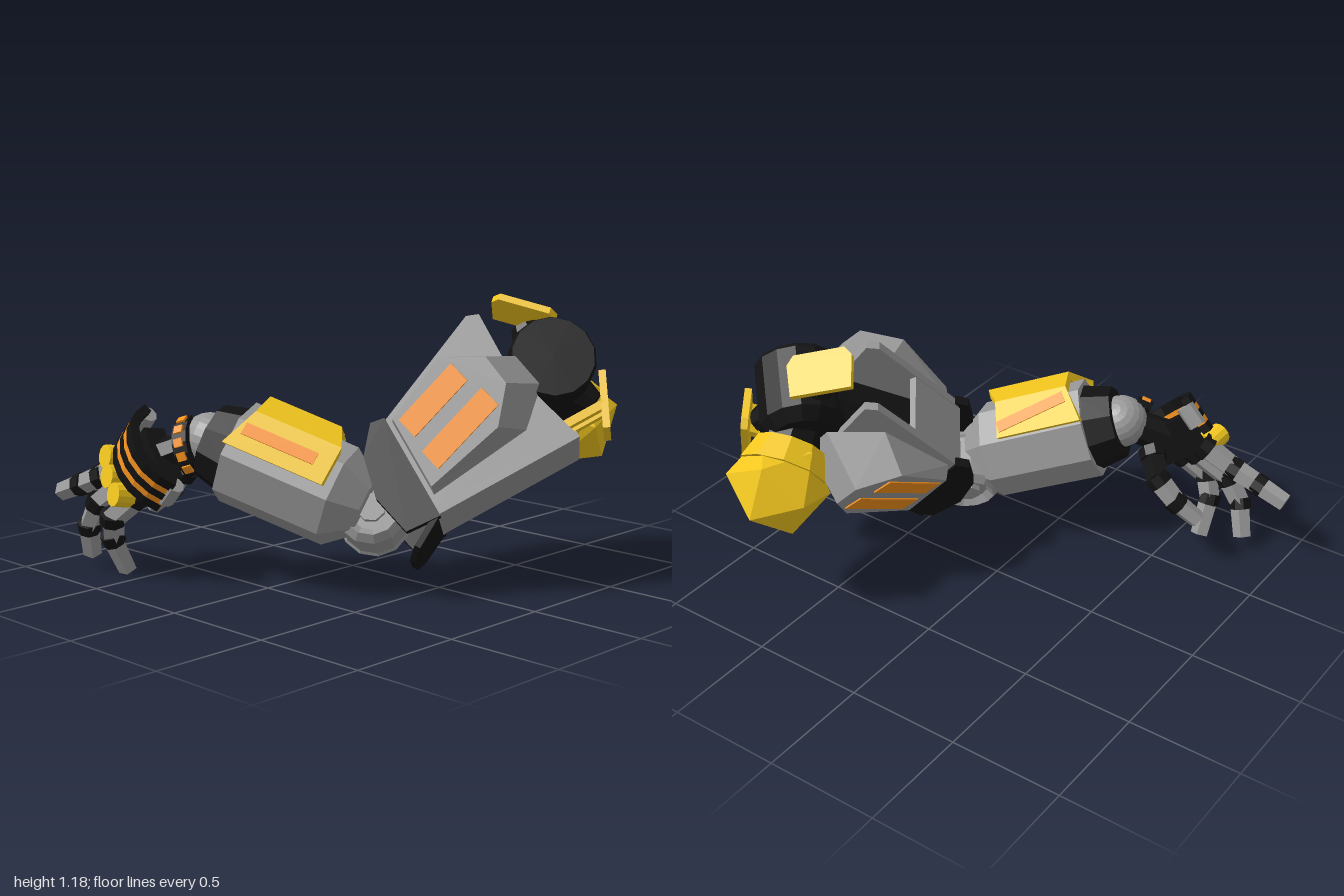
import * as THREE from 'three';

const mat = (color) => new THREE.MeshStandardMaterial({ color, flatShading: true, side: THREE.DoubleSide });
const GREY = mat(0x989898), BLACK = mat(0x121212), YELLOW = mat(0xf2c61e), ORANGE = mat(0xf7921e);
const V = (a) => new THREE.Vector3(...a);

// Group with its own axes: x along X, z close to Z.
function frame(parent, name, origin, X, Z) {
  const x = V(X).normalize(), y = V(Z).cross(x).normalize();
  const z = x.clone().cross(y);
  const g = new THREE.Group();
  g.name = name;
  g.quaternion.setFromRotationMatrix(new THREE.Matrix4().makeBasis(x, y, z));
  g.position.set(...origin);
  parent.add(g);
  return g;
}

function add(parent, name, geo, material, pos = [0, 0, 0], rot = [0, 0, 0]) {
  const m = new THREE.Mesh(geo, material);
  m.name = name;
  m.position.set(...pos);
  m.rotation.set(...rot);
  parent.add(m);
  return m;
}

const box = (x, y, z) => new THREE.BoxGeometry(x, y, z);

function slab(points, depth) {
  const shape = new THREE.Shape(points.map((p) => new THREE.Vector2(...p)));
  return new THREE.ExtrudeGeometry(shape, { depth, bevelEnabled: false });
}

// Prism along x; r0 is the radius at the low-x end.
const prismX = (r0, r1, len, sides, turn = 0) =>
  new THREE.CylinderGeometry(r0, r1, len, sides, 1, false, turn).rotateZ(Math.PI / 2);
// Prism along z.
const prismZ = (r0, r1, len, sides) => new THREE.CylinderGeometry(r1, r0, len, sides).rotateX(Math.PI / 2);

// Bent plate around the x axis from angle a0 to a1 (0 = +z, 90 = +y), reaching from x = 0 to -len.
function arcBand(rOut, rIn, a0, a1, segs, len) {
  const pts = [];
  for (const [r, from, to] of [[rOut, a0, a1], [rIn, a1, a0]])
    for (let i = 0; i <= segs; i++) {
      const t = THREE.MathUtils.degToRad(from + ((to - from) * i) / segs);
      pts.push([r * Math.cos(t), r * Math.sin(t)]);
    }
  return slab(pts, len).rotateY(-Math.PI / 2);
}

function reshape(geo, rule) {
  const p = geo.attributes.position, v = new THREE.Vector3();
  for (let i = 0; i < p.count; i++) {
    v.fromBufferAttribute(p, i);
    rule(v);
    p.setXYZ(i, v.x, v.y, v.z);
  }
  geo.computeVertexNormals();
  return geo;
}

// Straight part between two points.
function limb(parent, name, p, q, r0, r1, material, sides = 6) {
  const a = V(p), dir = V(q).sub(a);
  const m = add(parent, name, new THREE.CylinderGeometry(r1, r0, dir.length(), sides), material);
  m.quaternion.setFromUnitVectors(new THREE.Vector3(0, 1, 0), dir.clone().normalize());
  m.position.copy(a.addScaledVector(dir, 0.5));
}

const SIDE = [0.55, 0.48, 0.68]; // shared hinge direction of both arm halves

function upperArm(root) {
  const g = frame(root, 'upperArm', [0.62, 0.35, 0.18], [0.54, 0.465, -0.7], SIDE);
  const T = 0.33, SLOPE = 0.37;
  const cheek = [[0, 0], [0.67, 0], [0.62, 0.2], [0.57, 0.42], [0.58, 0.66], [0.53, 0.68], [0, 0.44]];
  const podBase = [[0.05, 0.43], [0.42, 0.54], [0.63, 0.42], [0.65, 0.27], [0.5, 0.13], [0.05, 0.08]];
  const tilt = Math.atan(SLOPE);
  for (const s of [1, -1]) {
    const face = s > 0 ? 0 : -T;
    add(g, 'shellCheek', slab(cheek, 0.035), GREY, [0, 0, s > 0 ? -0.035 : -T]);
    // wedge-shaped pod, rising towards the shoulder, with two stripes
    const pod = reshape(slab(podBase, 0.1), (v) => {
      if (v.z > 0.05) {
        v.x = 0.06 + (v.x - 0.06) * 0.74;
        v.y = 0.28 + (v.y - 0.28) * 0.92;
        v.z = 0.05 + SLOPE * v.x;
      }
      v.z *= s;
    });
    add(g, 'stripePod', pod, GREY, [0, 0, face]);
    for (const [x, y, len] of [[0.225, 0.385, 0.31], [0.26, 0.225, 0.35]])
      add(g, 'podStripe', box(len, 0.1, 0.012), ORANGE, [x, y, face + s * (0.05 + SLOPE * x)], [0, -s * tilt, 0.22]);
    // black elbow guard
    const guard = slab([[0.03, -0.01], [-0.12, 0], [-0.16, 0.18], [-0.12, 0.36], [-0.03, 0.47], [0.03, 0.46]], 0.04);
    add(g, 'elbowGuard', guard, BLACK, [0, 0, s > 0 ? -0.03 : -T - 0.01]);
  }
  add(g, 'shellFloor', box(0.67, 0.03, T), GREY, [0.335, 0.015, -T / 2]);
  add(g, 'shellRoof', box(0.33, 0.03, T), GREY, [0.148, 0.487, -T / 2], [0, 0, 0.424]);
  add(g, 'shellCore', box(0.42, 0.34, T - 0.1), BLACK, [0.38, 0.25, -T / 2]);
  const flap = slab([[0, 0], [-0.14, 0.03], [-0.19, 0.11], [-0.19, 0.24], [-0.14, 0.31], [0, T]], 0.025);
  add(g, 'lowerElbowGuard', flap.rotateX(-Math.PI / 2), BLACK, [0.02, -0.01, 0], [0, 0, 0.5]);
  for (const z of [-0.12, -0.22]) add(g, 'yellowStrut', box(0.26, 0.035, 0.04), YELLOW, [0.72, 0.1, z]);
}

function shoulder(root) {
  const g = frame(root, 'shoulder', [0.695, 0.88, -0.45], [0.7, 0, -0.7], SIDE);
  const profile = [[0, -0.18], [0.13, -0.18], [0.18, -0.13], [0.18, 0.15], [0.17, 0.17], [0, 0.17]];
  const drum = new THREE.LatheGeometry(profile.map((p) => new THREE.Vector2(...p)), 14).rotateX(Math.PI / 2);
  add(g, 'shoulderDrum', drum, BLACK);
  // blocks joining the drum to the shell, plates and ball
  limb(root, 'shoulderNeck', [0.64, 0.88, -0.45], [0.45, 0.72, -0.2], 0.12, 0.09, BLACK, 8);
  limb(root, 'plateMount', [0.62, 0.92, -0.47], [0.54, 1.05, -0.485], 0.1, 0.06, BLACK, 8);
  limb(root, 'ballNeck', [0.68, 0.83, -0.48], [0.61, 0.67, -0.68], 0.12, 0.14, BLACK, 8);
  limb(root, 'sideMount', [0.75, 0.83, -0.48], [0.87, 0.75, -0.535], 0.1, 0.05, BLACK, 8);
  // yellow cap plates
  const top = frame(root, 'topPlate', [0.515, 1.085, -0.5], [0.24, -0.07, -0.14], [-0.3, 0.8, -0.5]);
  const cap = [[-0.14, -0.05], [-0.11, -0.09], [0.11, -0.09], [0.14, -0.05], [0.13, 0.09], [-0.13, 0.09]];
  add(top, 'topPlateBody', slab(cap, 0.03), YELLOW);
  const side = frame(root, 'sidePlate', [0.895, 0.74, -0.55], [-0.09, 0.23, -0.08], [0.75, 0.2, -0.62]);
  const wing = [[-0.13, -0.06], [-0.1, -0.095], [0.11, -0.1], [0.135, -0.06], [0.13, 0.09], [-0.12, 0.1]];
  add(side, 'sidePlateBody', slab(wing, 0.03), YELLOW);
  // faceted ball with its collar
  add(root, 'shoulderBall', new THREE.IcosahedronGeometry(0.22, 0), YELLOW, [0.6, 0.635, -0.715], [0.3, 0.2, 0.1]);
  limb(root, 'ballCollar', [0.605, 0.67, -0.68], [0.63, 0.74, -0.59], 0.19, 0.15, YELLOW, 10);
}

function forearm(root) {
  // x runs from the wrist to the elbow
  const g = frame(root, 'forearm', [-0.27, 0.6, 0.57], [0.85, -0.34, -0.43], SIDE);
  const turn = Math.PI / 8;
  add(g, 'forearmHull', prismX(0.22, 0.215, 0.47, 8, turn), GREY, [0.365, 0, 0]);
  add(g, 'elbowTaper', prismX(0.215, 0.12, 0.12, 8, turn), GREY, [0.66, 0, 0]);
  add(g, 'wristCuff', prismX(0.16, 0.195, 0.14, 10), BLACK, [0.08, 0, 0]);
  add(g, 'wristBall', new THREE.SphereGeometry(0.115, 16, 12), GREY);
  // bent armour, notched at the wrist end
  const armour = reshape(arcBand(0.265, 0.225, -10, 110, 3, 0.42), (v) => {
    const a = THREE.MathUtils.radToDeg(Math.atan2(v.y, v.z));
    if (v.x < -0.2) v.x += 0.09 * Math.max(0, 1 - Math.abs(a - 45) / 60);
    else v.x += a > 50 ? -0.04 : 0.03;
  });
  add(g, 'forearmArmour', armour, YELLOW, [0.54, 0, 0]);
  for (const [deg, turnIn] of [[10, 0], [90, 0.25]]) {
    const t = THREE.MathUtils.degToRad(deg), r = 0.249;
    const pos = [0.34, r * Math.sin(t), r * Math.cos(t)];
    add(g, 'armourStripe', box(0.32, 0.055, 0.008), ORANGE, pos, [-t, 0, turnIn]);
  }
  // elbow hinge, sunk between the guards
  const hinge = [0.745, 0, -0.07];
  add(g, 'elbowDrum', prismZ(0.14, 0.14, 0.2, 12), GREY, hinge);
  for (const s of [1, -1]) {
    const end = [hinge[0], 0, hinge[2] + s * 0.1];
    add(g, 'elbowRing', new THREE.TorusGeometry(0.12, 0.03, 4, 12), GREY, end);
    add(g, 'elbowHub', prismZ(0.06, 0.06, 0.05, 8), GREY, end);
  }
}

function hand(root) {
  const g = frame(root, 'hand', [-0.42, 0.5, 0.65], [0.69, 0.72, 0], [-0.1, 0.2, 0.97]);
  // back plate of alternating bands
  [0.045, 0.03, 0.035, 0.03, 0.04].reduce((x, w, i) => {
    const r = i % 2 ? 0.238 : 0.24;
    add(g, i % 2 ? 'handStripe' : 'handBand', arcBand(r, 0.2, -62, 62, 7, w), i % 2 ? ORANGE : BLACK, [x, 0, 0]);
    return x - w;
  }, 0.11);
  for (const s of [1, -1]) add(g, 'platePin', prismX(0.04, 0.04, 0.1, 8), GREY, [0.03, s * 0.185, 0.09]);
  add(g, 'palm', box(0.17, 0.26, 0.1), BLACK, [-0.03, 0, 0.07]);
  limb(root, 'wristLink', [-0.27, 0.6, 0.57], [-0.43, 0.52, 0.68], 0.07, 0.08, BLACK, 8);
  // small link blocks around the wrist
  const w = frame(root, 'wristLinks', [-0.33, 0.56, 0.6], [0.85, 0.3, -0.3], [0.1, 0.25, 0.97]);
  add(w, 'linkBand', arcBand(0.14, 0.11, -60, 60, 6, 0.07), BLACK, [0.05, 0, 0]);
  for (let i = 0; i < 5; i++) {
    const t = THREE.MathUtils.degToRad(-48 + i * 24);
    add(w, 'linkBlock', box(0.04, 0.035, 0.02), ORANGE, [0.015, 0.138 * Math.sin(t), 0.138 * Math.cos(t)], [-t, 0, 0]);
  }
  // fingers and thumb
  const fingers = [
    [[-0.6, 0.5, 0.74], [-0.73, 0.41, 0.78], [-0.85, 0.36, 0.8], [-0.98, 0.31, 0.81]],
    [[-0.54, 0.43, 0.78], [-0.68, 0.31, 0.84], [-0.75, 0.2, 0.84], [-0.8, 0.065, 0.79]],
    [[-0.46, 0.37, 0.81], [-0.56, 0.27, 0.86], [-0.6, 0.17, 0.83], [-0.605, 0.02, 0.75]],
    [[-0.43, 0.48, 0.58], [-0.51, 0.42, 0.5], [-0.6, 0.33, 0.51], [-0.69, 0.25, 0.55]],
  ];
  fingers.forEach((pts, f) => {
    const name = f < 3 ? 'finger' : 'thumb';
    for (let i = 0; i < 3; i++) {
      const r = 0.056 - i * 0.005;
      limb(root, name + 'Segment', pts[i], pts[i + 1], r, r * 0.9, f === 3 && i === 0 ? BLACK : GREY, 5);
      // black band at each joint
      const dir = V(pts[i + 1]).sub(V(pts[i])).normalize();
      const ends = [-0.025, 0.025].map((d) => V(pts[i]).addScaledVector(dir, d).toArray());
      limb(root, name + 'Joint', ...ends, r * 1.08, r * 1.08, BLACK, 8);
    }
    if (f < 3) {
      const k = V(pts[0]).add(V([-0.01, 0.012, 0.06])).toArray();
      add(root, 'knuckle', prismZ(0.052, 0.05, 0.1, 12), YELLOW, k, [-0.2, -0.15, 0]);
    }
  });
}

export function createModel() {
  const root = new THREE.Group();
  root.name = 'mechanicalArm';
  upperArm(root);
  shoulder(root);
  forearm(root);
  hand(root);
  return root;
}
